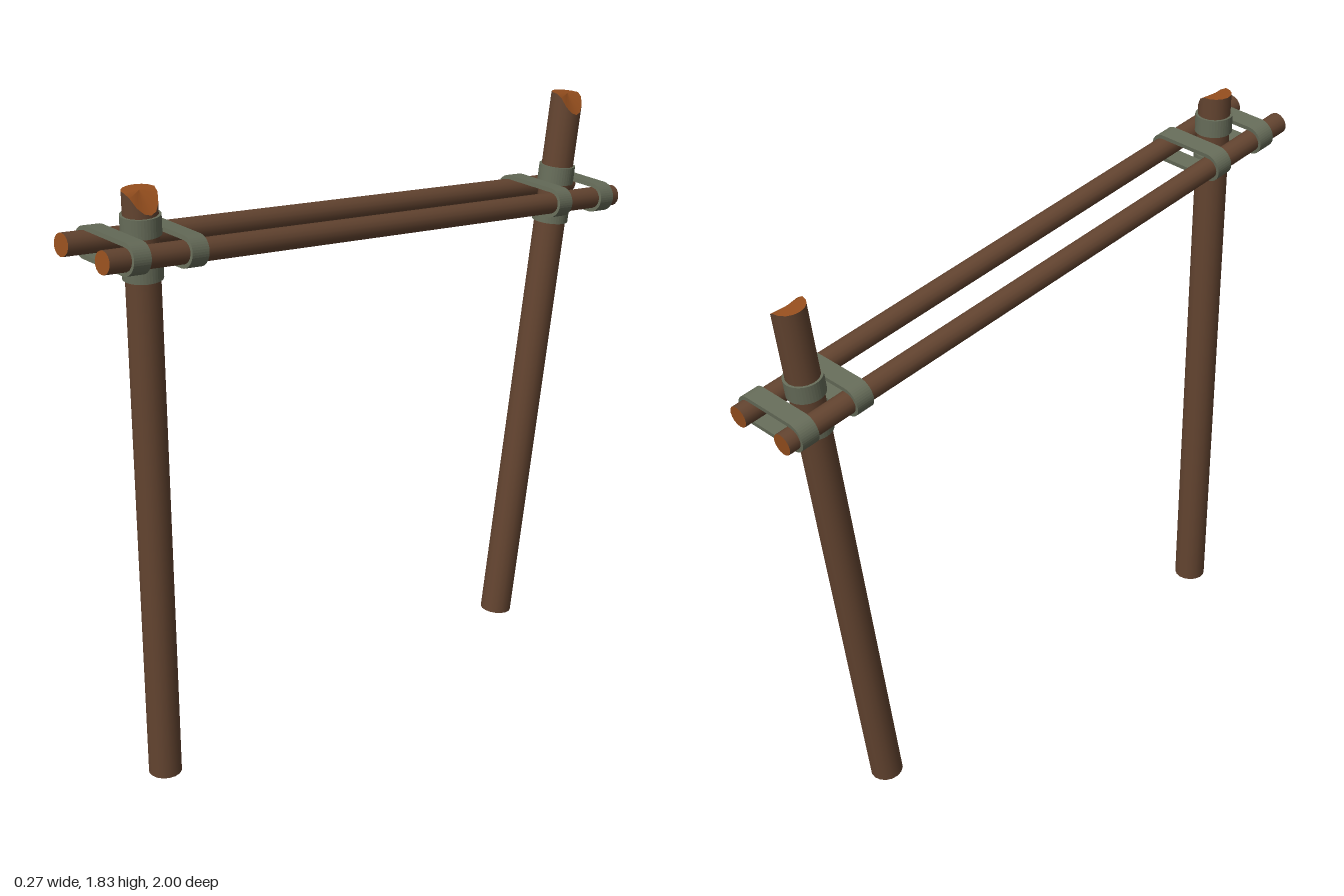
import * as THREE from 'three';

const UP = new THREE.Vector3(0, 1, 0);

export function createModel() {
  const bark = new THREE.MeshStandardMaterial({ name: 'barkBrown', color: 0x634430 });
  const cutWood = new THREE.MeshStandardMaterial({ name: 'cutWoodOrange', color: 0x964f1e });
  const rope = new THREE.MeshStandardMaterial({ name: 'ropeGreyGreen', color: 0x666c59 });

  const model = new THREE.Group();
  model.name = 'hurdleFrame';

  // Log running from a to b; bevel lowers the +x side of the top rim
  function addLog(name, a, b, radius, bevel = 0) {
    const length = a.distanceTo(b);
    const geo = new THREE.CylinderGeometry(radius, radius, length, 16);
    const p = geo.attributes.position;
    for (let i = 0; i < p.count; i++) {
      if (p.getY(i) < 0) continue;
      const t = Math.max(0, (p.getX(i) / radius - 0.25) / 0.75);
      p.setY(i, length / 2 - bevel * t);
    }
    // Keep smooth round sides; only the sloped cap gets fresh normals
    const sideNormals = geo.attributes.normal.clone();
    geo.computeVertexNormals();
    const n = geo.attributes.normal;
    for (let i = 0; i < 34; i++) n.setXYZ(i, sideNormals.getX(i), sideNormals.getY(i), sideNormals.getZ(i));
    const log = new THREE.Mesh(geo, [bark, cutWood, cutWood]);
    log.name = name;
    log.position.copy(a).add(b).multiplyScalar(0.5);
    log.quaternion.setFromUnitVectors(UP, b.clone().sub(a).normalize());
    model.add(log);
    return log;
  }

  // Closed loop: a ring, or a stadium when span > 0, extruded along z
  function stadium(PathClass, span, r) {
    const s = new PathClass();
    s.absarc(span, 0, r, -Math.PI / 2, Math.PI / 2, false);
    s.absarc(-span, 0, r, Math.PI / 2, Math.PI * 1.5, false);
    s.closePath();
    return s;
  }
  function bandGeometry(span, inner, outer, depth) {
    const shape = stadium(THREE.Shape, span, outer);
    shape.holes.push(stadium(THREE.Path, span, inner));
    return new THREE.ExtrudeGeometry(shape, { depth, bevelEnabled: false, curveSegments: 10 })
      .translate(0, 0, -depth / 2);
  }

  // Posts
  const frontPost = addLog('frontPost', new THREE.Vector3(0, 0, 0.8), new THREE.Vector3(0, 1.83, 0.8), 0.05, 0.06);
  const rearPost = addLog('rearPost', new THREE.Vector3(-0.02, 0.006, -0.635), new THREE.Vector3(-0.004, 1.775, -0.877), 0.05, 0.06);

  // Twin rails sloping down to the rear
  const railFront = new THREE.Vector3(0, 1.697, 0.996);
  const railRear = new THREE.Vector3(0, 1.435, -0.996);
  for (const [side, name] of [[1, 'leftRail'], [-1, 'rightRail']]) {
    const offset = new THREE.Vector3(side * 0.093, 0, 0);
    addLog(name, railRear.clone().add(offset), railFront.clone().add(offset), 0.033);
  }

  // Lashings: loops round both rails, and collars on the post above and below them
  const railBand = bandGeometry(0.089, 0.033, 0.046, 0.058);
  const collar = bandGeometry(0, 0.049, 0.057, 0.056).rotateX(Math.PI / 2);
  const railTilt = -Math.atan2(railFront.y - railRear.y, railFront.z - railRear.z);

  for (const [name, post, z] of [['front', frontPost, 0.8], ['rear', rearPost, -0.835]]) {
    const t = (z - railRear.z) / (railFront.z - railRear.z);
    const joint = railRear.clone().lerp(railFront, t);
    const lashing = new THREE.Group();
    lashing.name = name + 'Lashing';
    for (const s of [-1, 1]) {
      const loop = new THREE.Mesh(railBand, rope);
      loop.name = name + 'RailLoop';
      loop.rotation.x = railTilt;
      loop.position.set(0, 0, s * 0.097).applyAxisAngle(new THREE.Vector3(1, 0, 0), railTilt).add(joint);

      const ring = new THREE.Mesh(collar, rope);
      ring.name = name + 'PostCollar';
      ring.quaternion.copy(post.quaternion);
      const axis = UP.clone().applyQuaternion(post.quaternion);
      const along = joint.clone().sub(post.position).dot(axis) + s * 0.063;
      ring.position.copy(post.position).addScaledVector(axis, along);
      lashing.add(loop, ring);
    }
    model.add(lashing);
  }

  return model;
}
